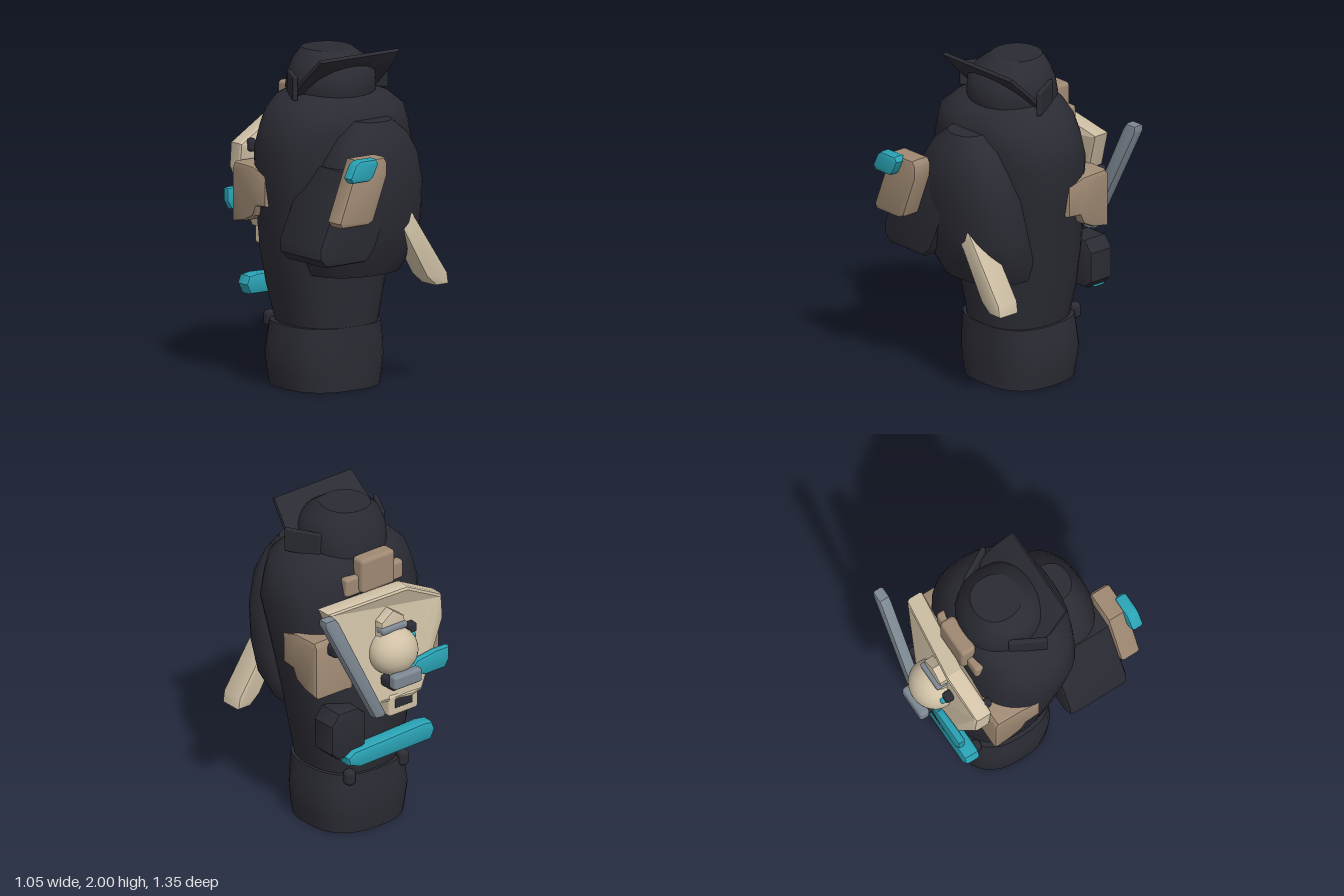
import * as THREE from 'three';
import { toCreasedNormals } from 'three/addons/utils/BufferGeometryUtils.js';
import { RoundedBoxGeometry } from 'three/addons/geometries/RoundedBoxGeometry.js';

const mat = (name, color) => Object.assign(new THREE.MeshStandardMaterial({ color }), { name });

// Closed loft through rings [y, xMin, xMax, zMin, zMax] of rounded-square section
function loft(rings, power = 2.2, n = 36) {
  const pos = [], idx = [];
  const ring = ([y, x0, x1, z0, z1]) => {
    for (let j = 0; j < n; j++) {
      const a = (j / n) * Math.PI * 2, c = Math.cos(a), s = Math.sin(a);
      const f = (v) => Math.sign(v) * Math.abs(v) ** (2 / power);
      pos.push((x0 + x1) / 2 + f(c) * (x1 - x0) / 2, y, (z0 + z1) / 2 + f(s) * (z1 - z0) / 2);
    }
  };
  rings.forEach(ring);
  for (let i = 0; i < rings.length - 1; i++) {
    for (let j = 0; j < n; j++) {
      const a = i * n + j, b = i * n + (j + 1) % n;
      idx.push(a, a + n, b, b, a + n, b + n);
    }
  }
  for (const top of [false, true]) {
    const r = rings[top ? rings.length - 1 : 0], base = pos.length / 3;
    ring(r);
    pos.push((r[1] + r[2]) / 2, r[0], (r[3] + r[4]) / 2);
    for (let j = 0; j < n; j++) {
      const a = base + j, b = base + (j + 1) % n;
      idx.push(base + n, ...(top ? [b, a] : [a, b]));
    }
  }
  const g = new THREE.BufferGeometry();
  g.setAttribute('position', new THREE.Float32BufferAttribute(pos, 3));
  g.setIndex(idx);
  g.computeVertexNormals();
  return g;
}

// Bevelled slab: outline in x,y between two z values
function slab(points, z0, z1, bevel = 0.02) {
  const shape = new THREE.Shape(points.map((p) => new THREE.Vector2(...p)));
  const g = new THREE.ExtrudeGeometry(shape, {
    depth: z1 - z0 - 2 * bevel, bevelThickness: bevel, bevelSize: bevel,
    bevelOffset: -bevel, bevelSegments: 2,
  });
  g.translate(0, 0, z0 + bevel);
  return toCreasedNormals(g, 0.6);
}

// Rounded box given by its extents
function box(x0, x1, y0, y1, z0, z1, r = 0.02) {
  const g = new RoundedBoxGeometry(x1 - x0, y1 - y0, z1 - z0, 2, r);
  return g.translate((x0 + x1) / 2, (y0 + y1) / 2, (z0 + z1) / 2);
}

export function createModel() {
  const model = new THREE.Group();
  const dark = mat('charcoal', 0x2b2b34), beige = mat('beige', 0xd0c1a6);
  const tan = mat('tan', 0x9f8973), teal = mat('teal', 0x2aa3b5), steel = mat('steel', 0x7d8892);
  const add = (name, geometry, material) => {
    const m = new THREE.Mesh(geometry, material);
    m.name = name;
    model.add(m);
    return m;
  };

  // Base, torso, belly and head
  add('base', loft([
    [0, -0.33, 0.28, -0.40, 0.18], [0.09, -0.345, 0.295, -0.41, 0.185],
    [0.18, -0.355, 0.305, -0.42, 0.19], [0.28, -0.345, 0.295, -0.41, 0.19],
    [0.38, -0.33, 0.28, -0.40, 0.19],
  ], 2.6), dark);
  add('torso', loft([
    [0.36, -0.30, 0.26, -0.38, 0.185], [0.6, -0.36, 0.31, -0.42, 0.21],
    [0.82, -0.41, 0.35, -0.43, 0.23], [1.15, -0.47, 0.41, -0.41, 0.28],
    [1.43, -0.51, 0.465, -0.38, 0.315], [1.56, -0.475, 0.43, -0.365, 0.315],
    [1.66, -0.44, 0.39, -0.34, 0.31], [1.73, -0.36, 0.31, -0.31, 0.24],
    [1.76, -0.28, 0.23, -0.27, 0.16],
  ], 2.4), dark);
  add('belly', loft([
    [0.71, -0.31, 0.28, -0.1, 0.37], [0.85, -0.37, 0.34, -0.05, 0.44],
    [1.02, -0.38, 0.35, 0, 0.49], [1.25, -0.37, 0.34, 0.05, 0.51],
    [1.42, -0.32, 0.29, 0.1, 0.51], [1.54, -0.24, 0.22, 0.15, 0.47],
    [1.63, -0.13, 0.11, 0.2, 0.42],
  ]), dark);
  add('head', loft([
    [1.70, -0.26, 0.21, -0.31, 0.18], [1.77, -0.28, 0.23, -0.315, 0.21],
    [1.86, -0.275, 0.225, -0.295, 0.20], [1.94, -0.24, 0.19, -0.265, 0.15],
    [2.0, -0.17, 0.12, -0.235, 0.06],
  ]), dark);

  // Sloping brim and its two side flaps
  const brim = add('brim', slab(
    [[-0.33, 0], [0.28, 0], [0.29, 0.14], [0.265, 0.325], [-0.315, 0.325], [-0.34, 0.14]], 0, 0.025, 0.006), dark);
  brim.rotation.x = Math.PI / 4;
  brim.position.set(0, 1.77, -0.02);
  for (const s of [-1, 1]) {
    const flap = add('headFlap', new RoundedBoxGeometry(0.03, 0.15, 0.23, 2, 0.012), dark);
    flap.position.set(-0.025 + s * 0.285, 1.81, -0.05);
    flap.rotation.set(0, s * 0.5, 0);
  }

  // Front arm, hand block and bar
  add('arm', slab([[-0.53, 0.88], [-0.48, 0.83], [-0.19, 0.83], [-0.13, 0.89], [0.02, 1.24],
    [-0.05, 1.38], [-0.34, 1.38], [-0.53, 0.95]], 0.1, 0.5, 0.025), dark);
  add('hand', slab([[-0.48, 1.11], [-0.46, 1.08], [-0.27, 1.08], [-0.23, 1.1], [-0.13, 1.36],
    [-0.13, 1.44], [-0.15, 1.47], [-0.34, 1.47]], 0.49, 0.62), tan);
  add('handTip', slab([[-0.44, 1.38], [-0.42, 1.35], [-0.3, 1.35], [-0.27, 1.37], [-0.23, 1.45],
    [-0.25, 1.48], [-0.37, 1.48], [-0.4, 1.46]], 0.59, 0.67), teal);
  add('frontBar', slab([[0.05, 1.08], [0.08, 1.1], [0.15, 1.11], [0.43, 0.69], [0.44, 0.62],
    [0.35, 0.62], [0.28, 0.68]], 0.32, 0.47, 0.012), beige);

  // Side pouches and collar blocks
  const pouch = [[0.08, 1.29], [0.2, 1.325], [0.37, 1.33], [0.39, 1.3], [0.39, 0.97], [0.28, 0.99],
    [0.2, 1.03], [0.17, 1.09], [0.08, 1.1]];
  add('pouches', slab(pouch.reverse(), -0.49, 0.44).rotateY(Math.PI / 2)
    .scale(1, 1, 1).translate(0, 0, 0), tan);
  add('collarBlock', box(-0.15, 0.1, 1.55, 1.77, -0.4, -0.3, 0.025), tan);
  add('collarStrip', box(-0.24, 0.19, 1.54, 1.66, -0.365, -0.3), tan);

  // Back plate, ridged along x = -0.15 and leaning outward toward the bottom
  const plate = slab([[0.39, 1.53], [-0.15, 1.57], [-0.43, 1.42], [-0.43, 1.27], [-0.22, 0.89],
    [-0.15, 0.88], [0.1, 0.88], [0.16, 0.93]], -0.51, -0.4);
  const p = plate.attributes.position;
  for (let i = 0; i < p.count; i++) {
    const lean = 0.06 * (1.57 - p.getY(i)) / 0.69;
    p.setZ(i, p.getZ(i) + 0.14 * Math.abs(p.getX(i) + 0.15) - lean);
  }
  add('backPlate', toCreasedNormals(plate, 0.4), beige);
  add('plateFoot', box(-0.2, 0.02, 0.78, 0.92, -0.55, -0.44), beige);
  add('footInset', box(-0.15, -0.02, 0.83, 0.89, -0.557, -0.53, 0.008), dark);
  for (const [x, y] of [[0.33, 1.27], [-0.36, 1.41]]) {
    add('plateKnob', box(x - 0.025, x + 0.025, y - 0.04, y + 0.04, -0.46, -0.34, 0.024), dark);
  }

  // Small figure head on the plate
  const ball = add('smallHead', new THREE.SphereGeometry(1, 28, 20), beige);
  ball.scale.set(0.155, 0.145, 0.14);
  ball.position.set(-0.025, 1.2, -0.525);
  add('smallPeak', slab([[-0.12, 1.3], [0.07, 1.3], [0.06, 1.4], [-0.025, 1.46], [-0.11, 1.4]], -0.53, -0.45, 0.01), beige);
  add('smallBand', box(-0.12, 0.07, 1.33, 1.37, -0.555, -0.48, 0.015), steel);
  add('smallVisor', box(-0.13, 0.08, 1.02, 1.11, -0.675, -0.61), steel);
  add('smallChin', box(-0.11, 0.06, 0.99, 1.06, -0.63, -0.5), dark);
  add('smallEarDark', box(-0.2, -0.14, 1.27, 1.33, -0.54, -0.48, 0.015), dark);
  add('smallEarTeal', box(-0.18, -0.13, 1.24, 1.28, -0.56, -0.5, 0.015), teal);

  // Teal pieces, steel blade and dark hip box
  add('tealFin', slab([[-0.4, 1.05], [-0.37, 1.0], [-0.22, 1.0], [-0.1, 1.05], [-0.16, 1.11],
    [-0.3, 1.13], [-0.4, 1.13]], -0.59, -0.54, 0.015), teal);
  add('tealBar', slab([[-0.36, 0.57], [-0.33, 0.51], [0.2, 0.5], [0.28, 0.53], [0.29, 0.58],
    [0.24, 0.61], [-0.28, 0.63], [-0.34, 0.62]], -0.51, -0.41), teal);
  add('blade', slab([[0.07, 0.84], [0.09, 0.82], [0.15, 0.83], [0.525, 1.54], [0.525, 1.58],
    [0.45, 1.58], [0.42, 1.54]], -0.585, -0.515, 0.015), steel);
  add('hipBox', slab([[0.13, 0.62], [0.18, 0.57], [0.33, 0.57], [0.385, 0.62], [0.385, 0.8],
    [0.33, 0.87], [0.19, 0.87], [0.13, 0.82]], -0.47, -0.3), dark);

  // Rear clasps on the base rim
  for (const x of [-0.23, 0.17]) {
    add('rearClasp', box(x - 0.035, x + 0.035, 0.32, 0.42, -0.4, -0.33, 0.03), dark);
  }
  return model;
}
